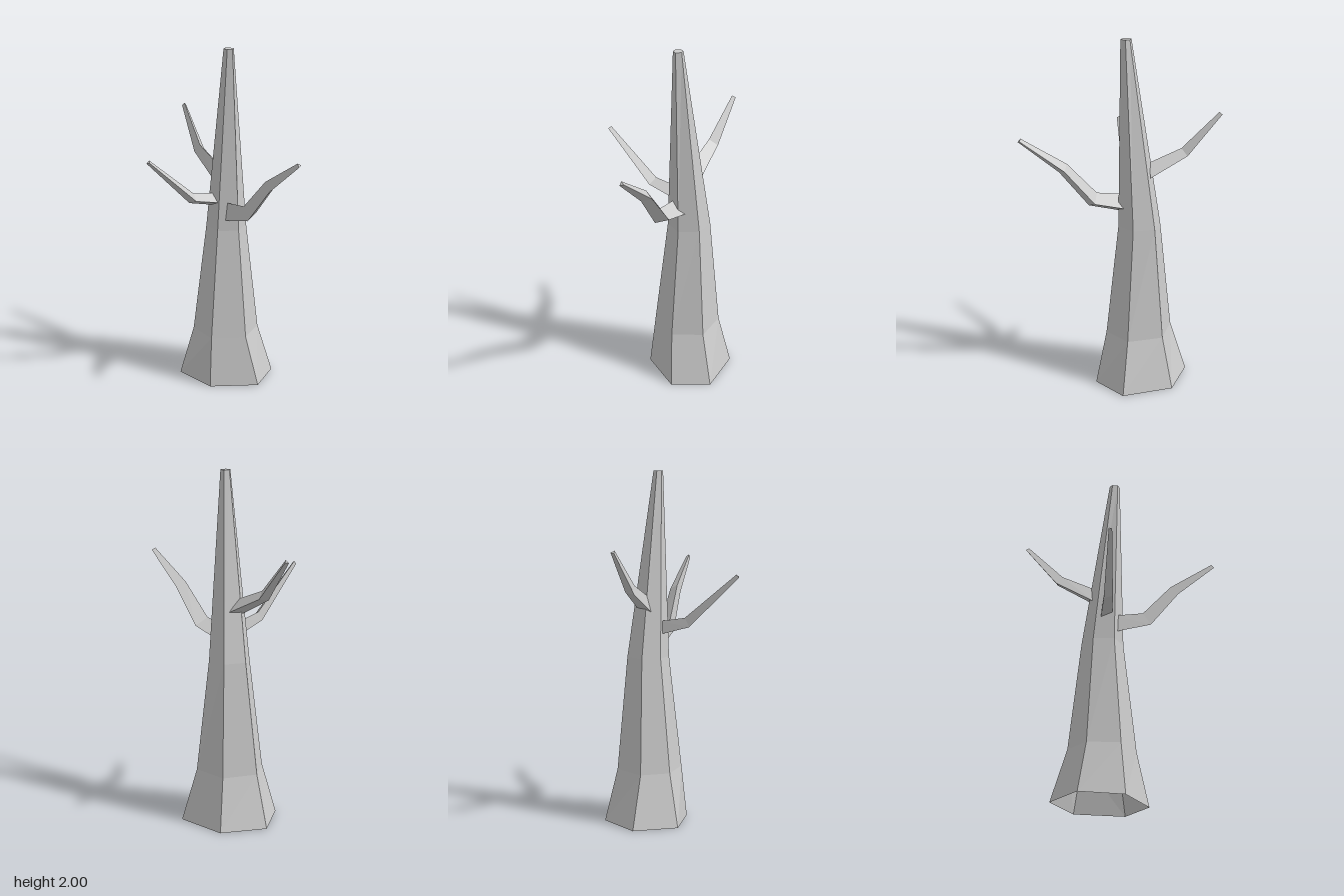
import * as THREE from 'three';

const bark = new THREE.MeshStandardMaterial({ color: 0xcccccc, flatShading: true, side: THREE.DoubleSide });

// Skin a stack of rings (clockwise around the growth direction) and cap the last one.
function loft(rings, name) {
  const n = rings[0].length;
  const pos = [];
  const tri = (...pts) => pts.forEach((p) => pos.push(p.x, p.y, p.z));
  for (let r = 0; r < rings.length - 1; r++) {
    const lo = rings[r], hi = rings[r + 1];
    for (let i = 0; i < n; i++) {
      const j = (i + 1) % n;
      tri(lo[i], hi[i], lo[j]);
      tri(lo[j], hi[i], hi[j]);
    }
  }
  const end = rings[rings.length - 1];
  for (let i = 1; i < n - 1; i++) tri(end[0], end[i + 1], end[i]);
  const geo = new THREE.BufferGeometry();
  geo.setAttribute('position', new THREE.Float32BufferAttribute(pos, 3));
  geo.computeVertexNormals();
  const mesh = new THREE.Mesh(geo, bark);
  mesh.name = name;
  return mesh;
}

// Three-sided tapering limb along a bent path; each point is [x, y, z, radius].
function branch(name, path, rollDegrees) {
  const up = new THREE.Vector3(0, 1, 0);
  const pts = path.map((p) => new THREE.Vector3(p[0], p[1], p[2]));
  const last = pts.length - 1;
  const side = up.clone().cross(pts[last].clone().sub(pts[0])).normalize();
  const rings = pts.map((p, k) => {
    const dir = new THREE.Vector3();
    if (k > 0) dir.add(p.clone().sub(pts[k - 1]).normalize());
    if (k < last) dir.add(pts[k + 1].clone().sub(p).normalize());
    if (k === 0) dir.y = 0; // the root is cut upright
    const lift = dir.normalize().clone().cross(side).normalize();
    return [0, 1, 2].map((i) => {
      const a = THREE.MathUtils.degToRad(rollDegrees - i * 120);
      return p.clone()
        .addScaledVector(side, Math.cos(a) * path[k][3])
        .addScaledVector(lift, Math.sin(a) * path[k][3]);
    });
  });
  return loft(rings, name);
}

export function createModel() {
  const tree = new THREE.Group();
  tree.name = 'bareTree';

  // Trunk: irregular six-sided rings, flared and open at the foot; [height, x/z corners]
  const levels = [
    [0, [[0.385, -0.055], [0.25, 0.13], [-0.03, 0.085], [-0.165, -0.14], [-0.02, -0.355], [0.245, -0.315]]],
    [0.3, [[0.295, -0.065], [0.185, 0.08], [-0.015, 0.055], [-0.085, -0.12], [0.005, -0.265], [0.205, -0.25]]],
    [0.95, [[0.222, -0.082], [0.153, 0.015], [0.033, 0.0], [-0.008, -0.113], [0.05, -0.205], [0.175, -0.195]]],
    [2, [[0.126, -0.02], [0.112, 0.01], [0.083, 0.006], [0.069, -0.022], [0.083, -0.045], [0.112, -0.042]]],
  ];
  tree.add(loft(levels.map(([y, ring]) => ring.map(([x, z]) => new THREE.Vector3(x, y, z))), 'trunk'));

  // Limbs
  tree.add(branch('frontBranch', [
    [0.105, 1.06, -0.02, 0.062], [0.18, 1.1, 0.15, 0.05], [0.255, 1.3, 0.3, 0.037], [0.35, 1.48, 0.518, 0.014],
  ], -5));
  tree.add(branch('rightBranch', [
    [0.03, 1.12, -0.055, 0.043], [-0.11, 1.155, 0.005, 0.034], [-0.38, 1.425, 0.115, 0.013],
  ], -5));
  tree.add(branch('backBranch', [
    [0.08, 1.25, -0.145, 0.055], [0, 1.35, -0.335, 0.036], [-0.052, 1.573, -0.523, 0.014],
  ], 75));
  return tree;
}
